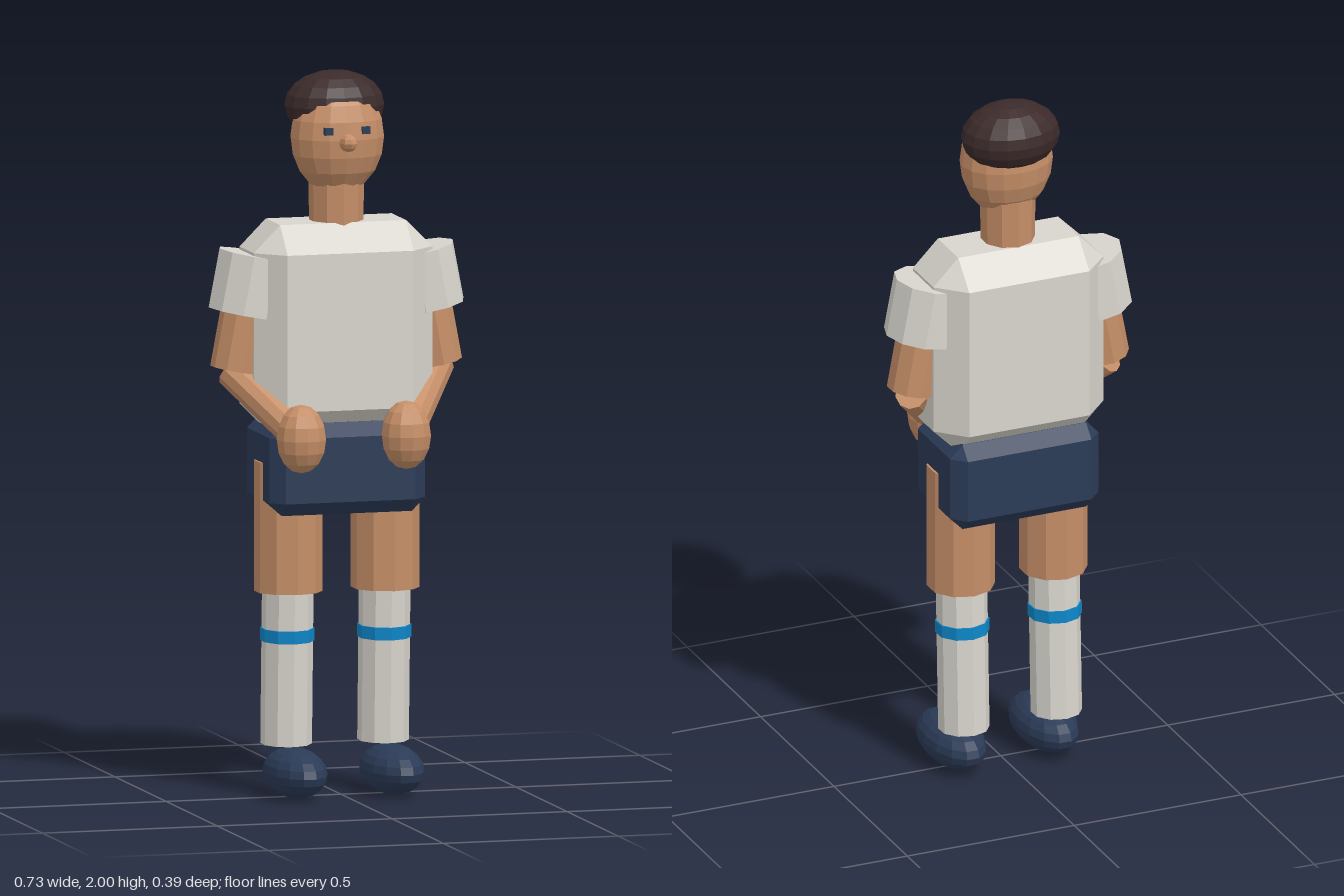
import * as THREE from 'three';
import { ConvexGeometry } from 'three/addons/geometries/ConvexGeometry.js';

const mat = (name, color) => {
  const m = new THREE.MeshStandardMaterial({ color, flatShading: true });
  m.name = name;
  return m;
};

export function createModel() {
  const model = new THREE.Group();
  model.name = 'footballPlayer';
  const skin = mat('skin', 0xc58e67);
  const cloth = mat('offWhiteCloth', 0xd8d5cd);
  const navy = mat('navy', 0x2b3b57);
  const hairColor = mat('darkBrownHair', 0x3c2a2a);
  const blue = mat('blueStripe', 0x0e86c8);

  const add = (name, geometry, material, x = 0, y = 0, z = 0) => {
    const mesh = new THREE.Mesh(geometry, material);
    mesh.name = name;
    mesh.position.set(x, y, z);
    model.add(mesh);
    return mesh;
  };

  // Ellipsoid with the given half sizes
  const ball = (rx, ry, rz, w = 14, h = 10) => new THREE.SphereGeometry(1, w, h).scale(rx, ry, rz);

  // Box with all edges and corners cut off at 45 degrees
  const chamferBox = (hx, hy, hz, c) => {
    const pts = [];
    for (const sx of [-1, 1]) for (const sy of [-1, 1]) for (const sz of [-1, 1]) {
      pts.push(new THREE.Vector3(sx * hx, sy * (hy - c), sz * (hz - c)));
      pts.push(new THREE.Vector3(sx * (hx - c), sy * hy, sz * (hz - c)));
      pts.push(new THREE.Vector3(sx * (hx - c), sy * (hy - c), sz * hz));
    }
    return new ConvexGeometry(pts);
  };

  // Ten-sided limb from a to b
  const limb = (name, a, b, ra, rb, material, turn = 0) => {
    const from = new THREE.Vector3(...a), to = new THREE.Vector3(...b);
    const dir = from.clone().sub(to);
    const geo = new THREE.CylinderGeometry(ra, rb, dir.length(), 10).rotateY(turn);
    const mesh = add(name, geo, material, ...from.clone().add(to).multiplyScalar(0.5).toArray());
    mesh.quaternion.setFromUnitVectors(new THREE.Vector3(0, 1, 0), dir.normalize());
    return mesh;
  };

  // Trunk
  add('shirt', chamferBox(0.255, 0.2925, 0.145, 0.075), cloth, 0, 1.295, -0.05);
  add('shorts', chamferBox(0.222, 0.127, 0.147, 0.037), navy, 0, 0.914, -0.05);

  // Head
  limb('neck', [0, 1.72, -0.047], [0, 1.55, -0.047], 0.077, 0.074, skin);
  add('head', ball(0.132, 0.16, 0.107, 16, 10), skin, 0, 1.82, -0.037);
  add('hair', ball(0.141, 0.095, 0.111, 16, 10), hairColor, 0, 1.905, -0.065);
  add('nose', ball(0.025, 0.025, 0.037, 8, 6), skin, 0, 1.815, 0.07);

  for (const [side, s] of [['left', 1], ['right', -1]]) {
    add(side + 'Eye', new THREE.BoxGeometry(0.023, 0.02, 0.02), navy, s * 0.053, 1.847, 0.057);

    // Arm
    limb(side + 'Sleeve', [s * 0.23, 1.5, -0.049], [s * 0.261, 1.338, -0.049], 0.105, 0.105, cloth, Math.PI / 2);
    limb(side + 'UpperArm', [s * 0.235, 1.47, -0.048], [s * 0.289, 1.182, -0.048], 0.069, 0.069, skin);
    limb(side + 'Forearm', [s * 0.296, 1.177, -0.062], [s * 0.165, 1.025, 0.108], 0.045, 0.045, skin);
    add(side + 'Hand', ball(0.07, 0.095, 0.07, 12, 8), skin, s * 0.15, 1.008, 0.125);

    // Leg
    const x = s * 0.1385;
    limb(side + 'Thigh', [x, 0.927, -0.042], [x, 0.565, -0.042], 0.0946, 0.0946, skin);
    limb(side + 'Sock', [x, 0.57, -0.047], [x, 0.14, -0.063], 0.071, 0.071, cloth);
    limb(side + 'SockStripe', [x, 0.462, -0.051], [x, 0.427, -0.0523], 0.075, 0.075, blue);
    add(side + 'Shoe', ball(0.082, 0.069, 0.156, 14, 10), navy, x, 0.07, 0.024);
  }
  return model;
}
